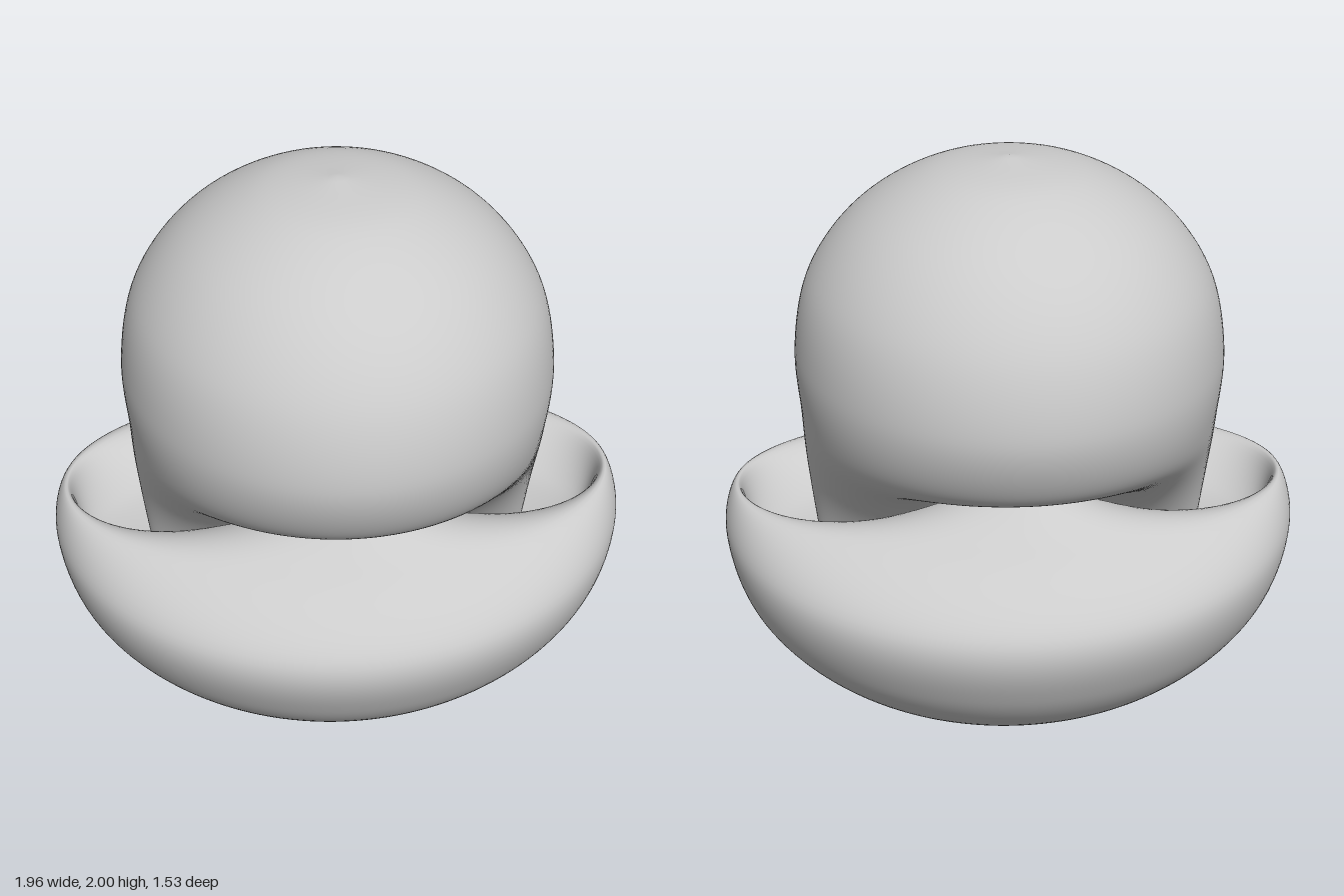
import * as THREE from 'three';
import { ParametricGeometry } from 'three/addons/geometries/ParametricGeometry.js';
import { mergeVertices } from 'three/addons/utils/BufferGeometryUtils.js';

// Rings from the crown to the base: [x reach, its height, z reach, its height, pinch].
// Each ring waves between its side (x) and front (z) heights.
const dome = [0, 22.5, 45, 67.5, 90].map((d) => {
  const a = THREE.MathUtils.degToRad(d), s = Math.sin(a), c = Math.cos(a);
  return [0.71 * s, 1.38 + 0.62 * c, 0.76 * s, 1.34 + 0.66 * c, 0];
});
const neck = [
  [0.7, 1.15, 0.7, 1.14, 0],
  [0.69, 0.95, 0.6, 1.065, 0.03],
  [0.66, 0.65, 0.44, 1.12, 0.1],
  [0.63, 0.42, 0.34, 1.3, 0.16],
  [0.76, 0.4, 0.37, 1.13, 0.15],
  [0.87, 0.65, 0.43, 1.01, 0.11],
  [0.93, 0.865, 0.57, 0.85, 0.02],
];
const bowl = [90, 67.5, 45, 22.5, 0].map((d) => {
  const a = THREE.MathUtils.degToRad(d), s = Math.sin(a), c = Math.cos(a);
  return [0.98 * s, 0.71 - 0.71 * c, 0.76 * s, 0.63 - 0.63 * c, 0];
});
const rings = [...dome, ...neck, ...bowl];

// Profile running from crown to base at one angle around the axis
function profileAt(phi) {
  const c2 = Math.cos(2 * phi);
  return new THREE.CatmullRomCurve3(rings.map(([x, yx, z, yz, pinch]) => new THREE.Vector3(
    (x - pinch) * Math.cos(phi) + pinch * Math.cos(3 * phi),
    (yx + yz) / 2 + ((yx - yz) / 2) * c2,
    (z - pinch * 0.4) * Math.sin(phi) - pinch * 0.4 * Math.sin(3 * phi),
  )), false, 'catmullrom', 0.5);
}

export function createModel() {
  const slices = 160, stacks = 160;
  const profiles = Array.from({ length: slices }, (_, i) => profileAt((i / slices) * Math.PI * 2));
  let geometry = new ParametricGeometry((u, v, target) => {
    profiles[Math.round(u * slices) % slices]?.getPoint(1 - v, target);
  }, slices, stacks);

  // Weld the seam and poles, then smooth
  geometry.deleteAttribute('normal');
  geometry.deleteAttribute('uv');
  geometry = mergeVertices(geometry, 1e-5);
  geometry.computeVertexNormals();

  const surface = new THREE.Mesh(geometry, new THREE.MeshStandardMaterial({
    color: 0xcccccc, side: THREE.DoubleSide,
  }));
  surface.name = 'foldedSphereSurface';
  const group = new THREE.Group();
  group.name = 'foldedSphere';
  group.add(surface);
  return group;
}
